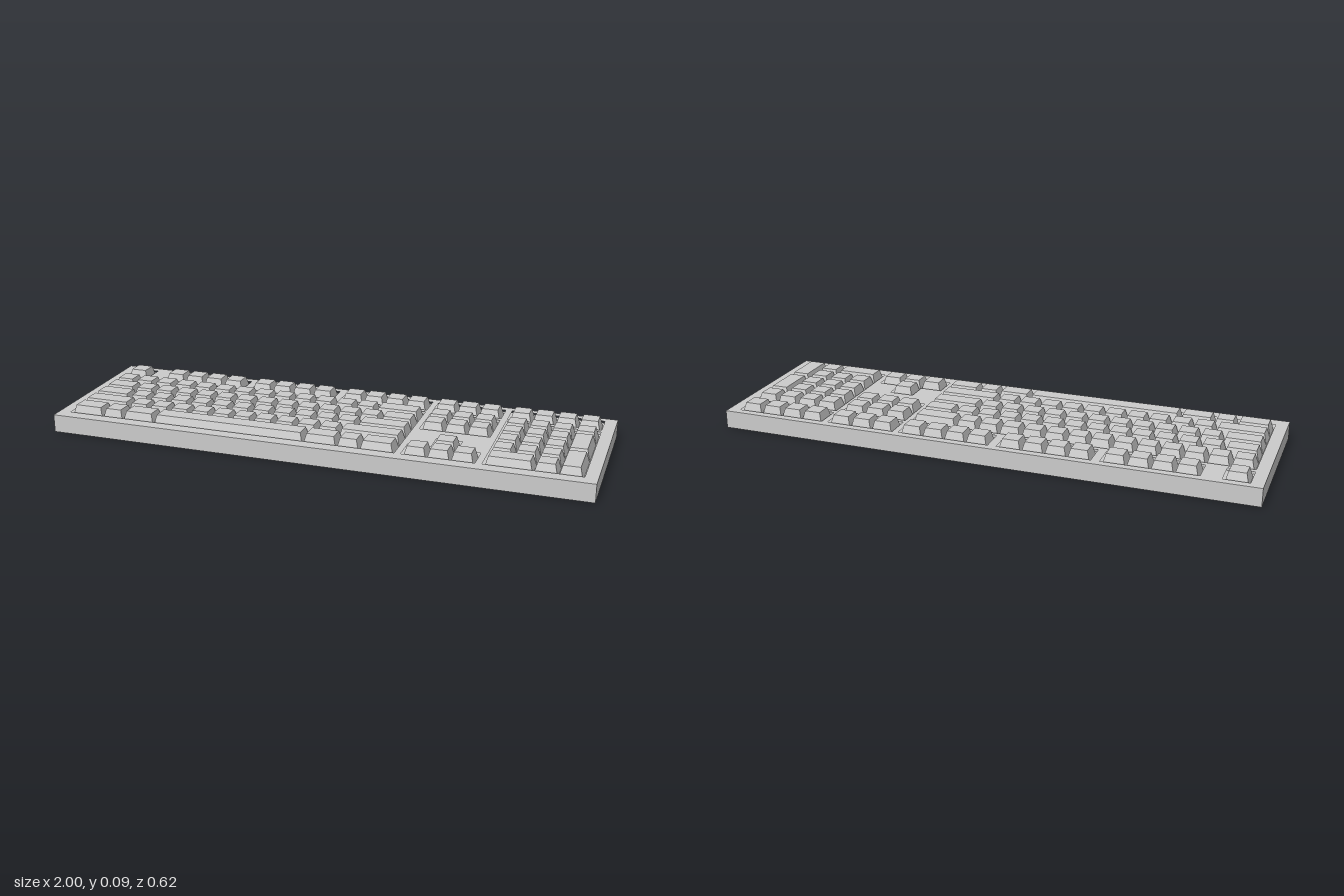
import * as THREE from 'three';

const U = 1 / 12;            // one key unit
const FLOOR = 0.05, RIM = 0.067, TOP = 0.092;
const MARGIN = 0.005;        // gap between keys and recess wall
const Z_UPPER = -0.274, Z_MAIN = -0.161;
const X_MAIN = -0.95, X_NAV = 0.333, X_PAD = 0.617;

const material = new THREE.MeshStandardMaterial({ color: 0xcccccc, flatShading: true });

// Tapered keycap filling a cell of w by d units
function makeKey(name, x, z, w, d = 1) {
  const bottomInset = 0.001, topInset = 0.012;
  const geo = new THREE.BoxGeometry(1, 1, 1);
  const p = geo.attributes.position;
  for (let i = 0; i < p.count; i++) {
    const up = p.getY(i) > 0;
    const inset = 2 * (up ? topInset : bottomInset);
    p.setXYZ(i, p.getX(i) * (w * U - inset), up ? TOP : FLOOR, p.getZ(i) * (d * U - inset));
  }
  geo.computeVertexNormals();
  const key = new THREE.Mesh(geo, material);
  key.name = name;
  key.position.set(x + w * U / 2, 0, z + d * U / 2);
  return key;
}

// A row of keys given by their widths in units
function addRow(group, name, x, z, widths) {
  for (const w of widths) {
    group.add(makeKey(name, x, z, w));
    x += w * U;
  }
}

const ones = (n) => Array(n).fill(1);

// Rectangular recess outline, as [x, z] corners
function rect(x, z, w, d) {
  const x0 = x - MARGIN, x1 = x + w * U + MARGIN, z0 = z - MARGIN, z1 = z + d * U + MARGIN;
  return [[x0, z0], [x1, z0], [x1, z1], [x0, z1]];
}

// Inverted T recess for the arrow keys
function arrowOutline(x, z) {
  const m = MARGIN, xa = x + U - m, xb = x + 2 * U + m, zm = z + U - m;
  const x0 = x - m, x1 = x + 3 * U + m, z1 = z + 2 * U + m;
  return [[xa, z - m], [xb, z - m], [xb, zm], [x1, zm], [x1, z1], [x0, z1], [x0, zm], [xa, zm]];
}

// Solid tray with a pierced frame on top
function makeCase(recesses) {
  const group = new THREE.Group();
  group.name = 'case';
  const tray = new THREE.Mesh(new THREE.BoxGeometry(2, FLOOR, 0.616), material);
  tray.name = 'tray';
  tray.position.y = FLOOR / 2;

  const toPoints = (pts) => pts.map(([x, z]) => new THREE.Vector2(x, -z));
  const shape = new THREE.Shape(toPoints([[-1, -0.308], [1, -0.308], [1, 0.308], [-1, 0.308]]));
  shape.holes = recesses.map((r) => new THREE.Path(toPoints(r)));
  const geo = new THREE.ExtrudeGeometry(shape, { depth: RIM - FLOOR, bevelEnabled: false });
  geo.rotateX(-Math.PI / 2);
  const frame = new THREE.Mesh(geo, material);
  frame.name = 'topFrame';
  frame.position.y = FLOOR;
  group.add(tray, frame);
  return group;
}

export function createModel() {
  const model = new THREE.Group();
  model.name = 'keyboard';
  const section = (name) => {
    const g = new THREE.Group();
    g.name = name;
    model.add(g);
    return g;
  };
  const rowZ = (r) => Z_MAIN + r * U;
  const recesses = [];

  // Separate upper row: start x and key count of each block
  const upper = section('upperRow');
  const upperBlocks = [
    [X_MAIN, 1], [X_MAIN + 2 * U, 4], [X_MAIN + 6.5 * U, 4], [X_MAIN + 11 * U, 4], [X_NAV, 3], [X_PAD, 4],
  ];
  for (const [x, n] of upperBlocks) {
    addRow(upper, 'upperKey', x, Z_UPPER, ones(n));
    recesses.push(rect(x, Z_UPPER, n, 1));
  }

  // Main typing block
  const main = section('mainKeys');
  [
    [...ones(13), 2],
    [1.5, ...ones(12), 1.5],
    [1.75, ...ones(11), 2.25],
    [2.25, ...ones(10), 2.75],
    [1.5, 1, 1.5, 7, 1.5, 1, 1.5],
  ].forEach((widths, r) => addRow(main, 'mainKey', X_MAIN, rowZ(r), widths));
  recesses.push(rect(X_MAIN, Z_MAIN, 15, 5));

  // Navigation block
  const nav = section('navigationKeys');
  for (let r = 0; r < 2; r++) addRow(nav, 'navigationKey', X_NAV, rowZ(r), ones(3));
  recesses.push(rect(X_NAV, Z_MAIN, 3, 2));

  // Arrow keys
  const arrows = section('arrowKeys');
  addRow(arrows, 'arrowKey', X_NAV + U, rowZ(3), [1]);
  addRow(arrows, 'arrowKey', X_NAV, rowZ(4), ones(3));
  recesses.push(arrowOutline(X_NAV, rowZ(3)));

  // Number pad with two tall keys on its outer column
  const pad = section('numberPad');
  [ones(4), ones(3), ones(3), ones(3), [2, 1]].forEach((widths, r) =>
    addRow(pad, 'padKey', X_PAD, rowZ(r), widths));
  for (const r of [1, 3]) pad.add(makeKey('tallPadKey', X_PAD + 3 * U, rowZ(r), 1, 2));
  recesses.push(rect(X_PAD, Z_MAIN, 4, 5));

  model.add(makeCase(recesses));
  return model;
}
